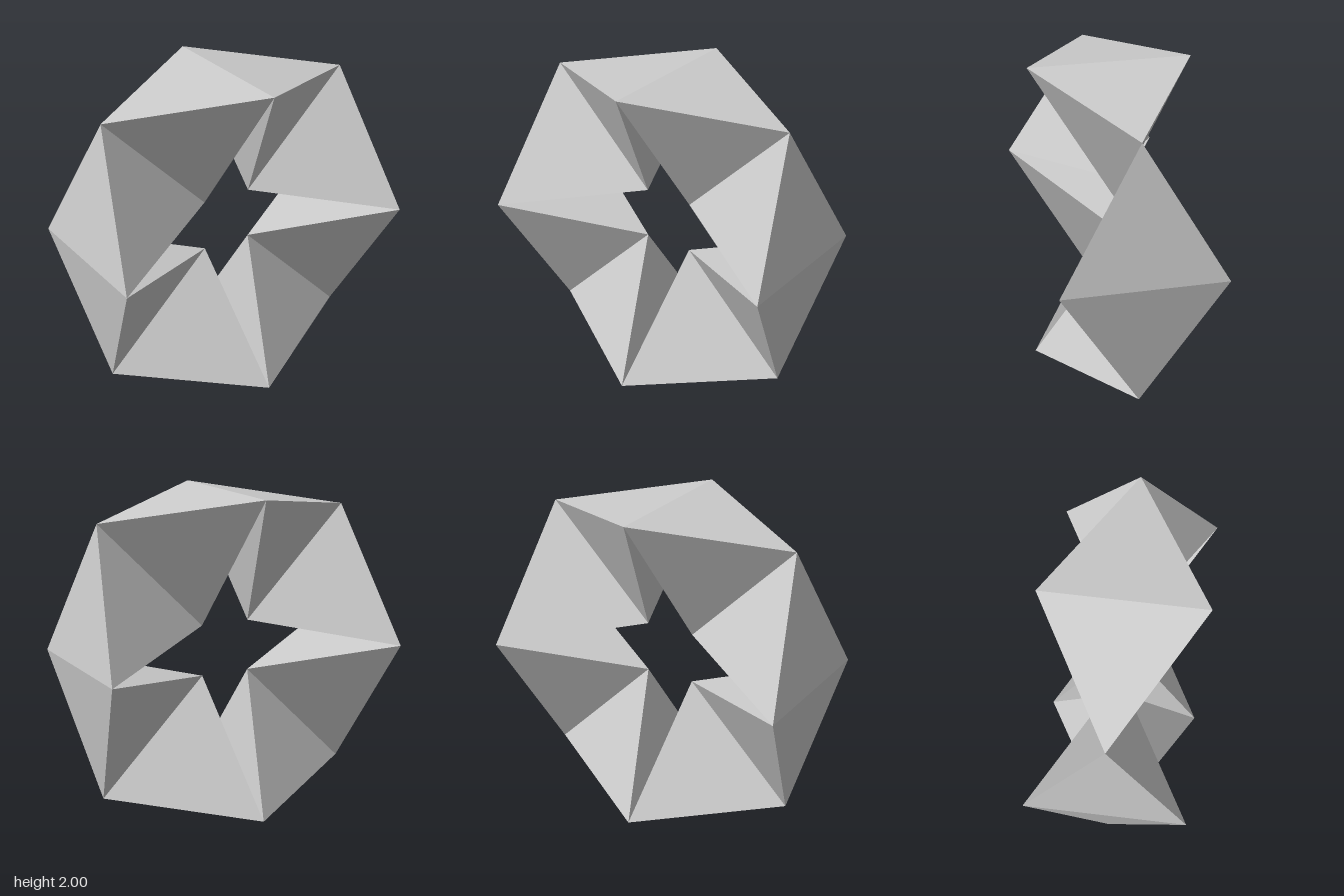
import * as THREE from 'three';

const HINGES = 8;
const AXIAL_RADIUS = 1, HALF_DEPTH = 0.5;  // hinges running front to back
const OUTER = 1.212, INNER = 0.23;         // hinges running outwards in the middle plane

// The two end points of a hinge; axial and radial hinges alternate around the ring
function hinge(i) {
  const angle = (i * Math.PI * 2) / HINGES;
  const at = (radius, z) =>
    new THREE.Vector3(Math.sin(angle) * radius, 1 + Math.cos(angle) * radius, z);
  return i % 2 === 0
    ? [at(AXIAL_RADIUS, HALF_DEPTH), at(AXIAL_RADIUS, -HALF_DEPTH)]
    : [at(OUTER, 0), at(INNER, 0)];
}

// Flat-faced tetrahedron with all faces pointing outwards
function tetrahedron(a, b, c, d) {
  const normal = b.clone().sub(a).cross(c.clone().sub(a));
  if (normal.dot(d.clone().sub(a)) < 0) [c, d] = [d, c];
  const geometry = new THREE.BufferGeometry().setFromPoints(
    [a, c, b, a, b, d, a, d, c, b, c, d]);
  geometry.computeVertexNormals();
  return geometry;
}

export function createModel() {
  const group = new THREE.Group();
  group.name = 'tetrahedronRing';
  const grey = new THREE.MeshStandardMaterial({ color: 0xcccccc });
  grey.name = 'light grey';
  grey.flatShading = true;

  // One tetrahedron between each pair of neighbouring hinges
  for (let i = 0; i < HINGES; i++) {
    const mesh = new THREE.Mesh(tetrahedron(...hinge(i), ...hinge(i + 1)), grey);
    mesh.name = `tetrahedron${i + 1}`;
    group.add(mesh);
  }
  return group;
}
